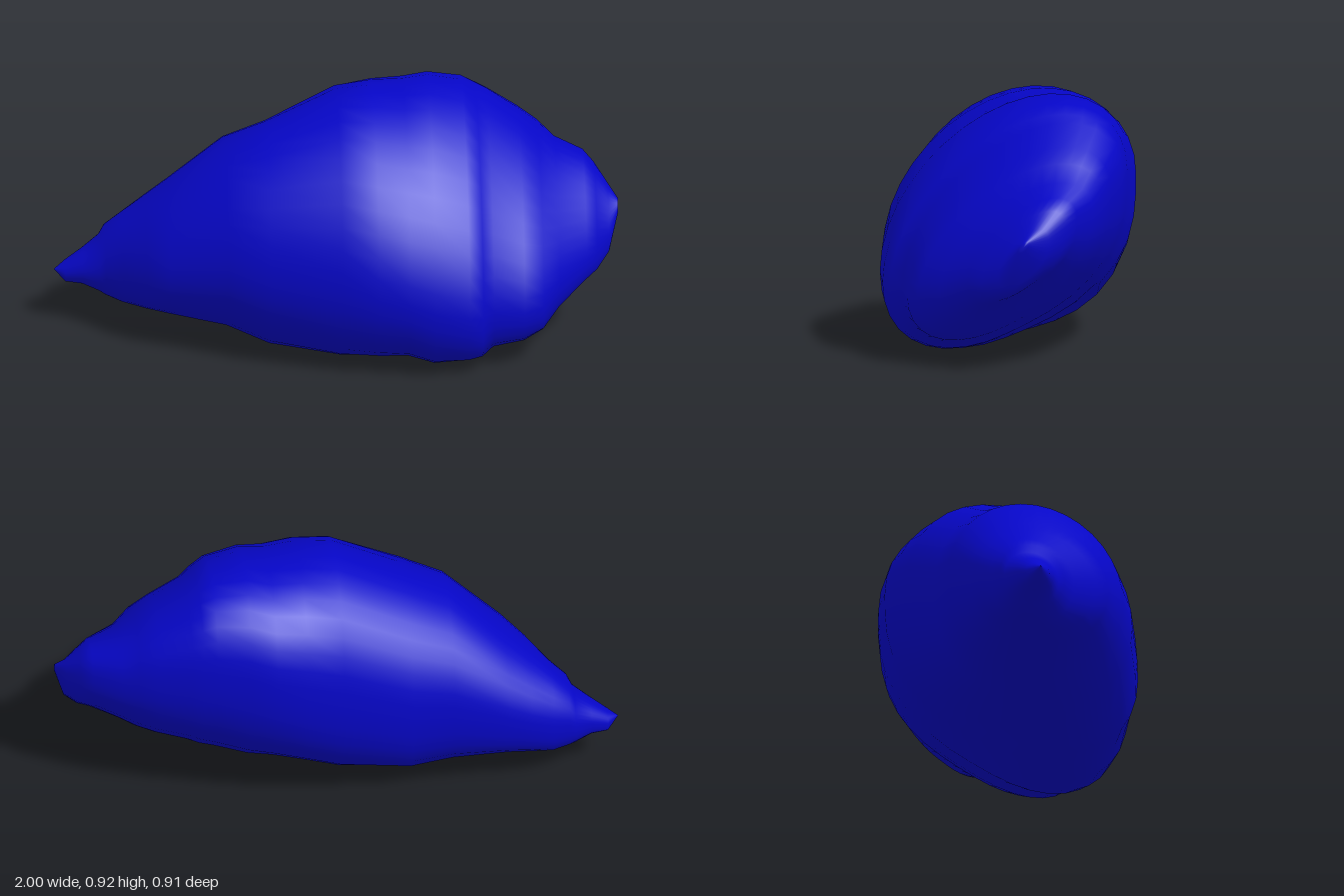
import * as THREE from 'three';

// Cross-sections along x: [x, bottom, top, back z, front z]
const STATIONS = [
  [-1, 0.205, 0.205, -0.19, -0.19], [-0.96, 0.16, 0.235, -0.235, -0.15],
  [-0.9, 0.155, 0.28, -0.255, -0.12], [-0.84, 0.13, 0.33, -0.285, -0.085],
  [-0.82, 0.12, 0.37, -0.295, -0.06], [-0.76, 0.1, 0.42, -0.315, -0.01],
  [-0.68, 0.1, 0.49, -0.34, 0.09], [-0.6, 0.095, 0.56, -0.35, 0.155],
  [-0.4, 0.07, 0.73, -0.38, 0.26], [-0.25, 0.02, 0.79, -0.395, 0.33],
  [0, 0.005, 0.905, -0.435, 0.41], [0.13, 0.02, 0.915, -0.45, 0.445],
  [0.24, 0.03, 0.91, -0.455, 0.45], [0.33, 0.01, 0.925, -0.44, 0.455],
  [0.45, 0.025, 0.905, -0.425, 0.445], [0.5, 0.035, 0.875, -0.415, 0.42],
  [0.54, 0.06, 0.85, -0.405, 0.375], [0.65, 0.085, 0.78, -0.37, 0.355],
  [0.72, 0.12, 0.73, -0.34, 0.32], [0.78, 0.18, 0.67, -0.305, 0.24],
  [0.88, 0.25, 0.63, -0.25, 0.14], [0.92, 0.27, 0.59, -0.21, 0.09],
  [0.965, 0.32, 0.53, -0.15, 0.03], [1, 0.45, 0.49, -0.08, -0.04],
  [1, 0.47, 0.47, -0.06, -0.06],
];
const SIDES = 36;

function loftBody() {
  const positions = [], index = [];
  STATIONS.forEach(([x, y0, y1, z0, z1], i) => {
    // upright at the thin end, leaning back into a diagonal ridge at the blunt end
    const lean = 0.04 + 0.7 * THREE.MathUtils.smoothstep(x, -0.6, 1.2);
    for (let j = 0; j < SIDES; j++) {
      const t = (j / SIDES) * Math.PI * 2;
      // fuller lower back edge
      const inCorner = t > Math.PI && t < Math.PI * 1.5;
      const full = inCorner ? 1 + 0.11 * Math.sin(2 * t) ** 2 : 1;
      positions.push(
        x,
        (y0 + y1) / 2 + ((y1 - y0) / 2) * Math.sin(t - lean) * full,
        (z0 + z1) / 2 + ((z1 - z0) / 2) * Math.cos(t) * full,
      );
      if (i === STATIONS.length - 1) continue;
      const k = (j + 1) % SIDES;
      const a = i * SIDES + j, b = i * SIDES + k;
      index.push(a, a + SIDES, b, b, a + SIDES, b + SIDES);
    }
  });
  const geometry = new THREE.BufferGeometry();
  geometry.setAttribute('position', new THREE.Float32BufferAttribute(positions, 3));
  geometry.setIndex(index);
  geometry.computeVertexNormals();
  return geometry;
}

export function createModel() {
  const group = new THREE.Group();
  group.name = 'stone';
  const body = new THREE.Mesh(loftBody(), new THREE.MeshStandardMaterial({ color: 0x0606c8 }));
  body.name = 'taperedBody';
  group.add(body);
  return group;
}
